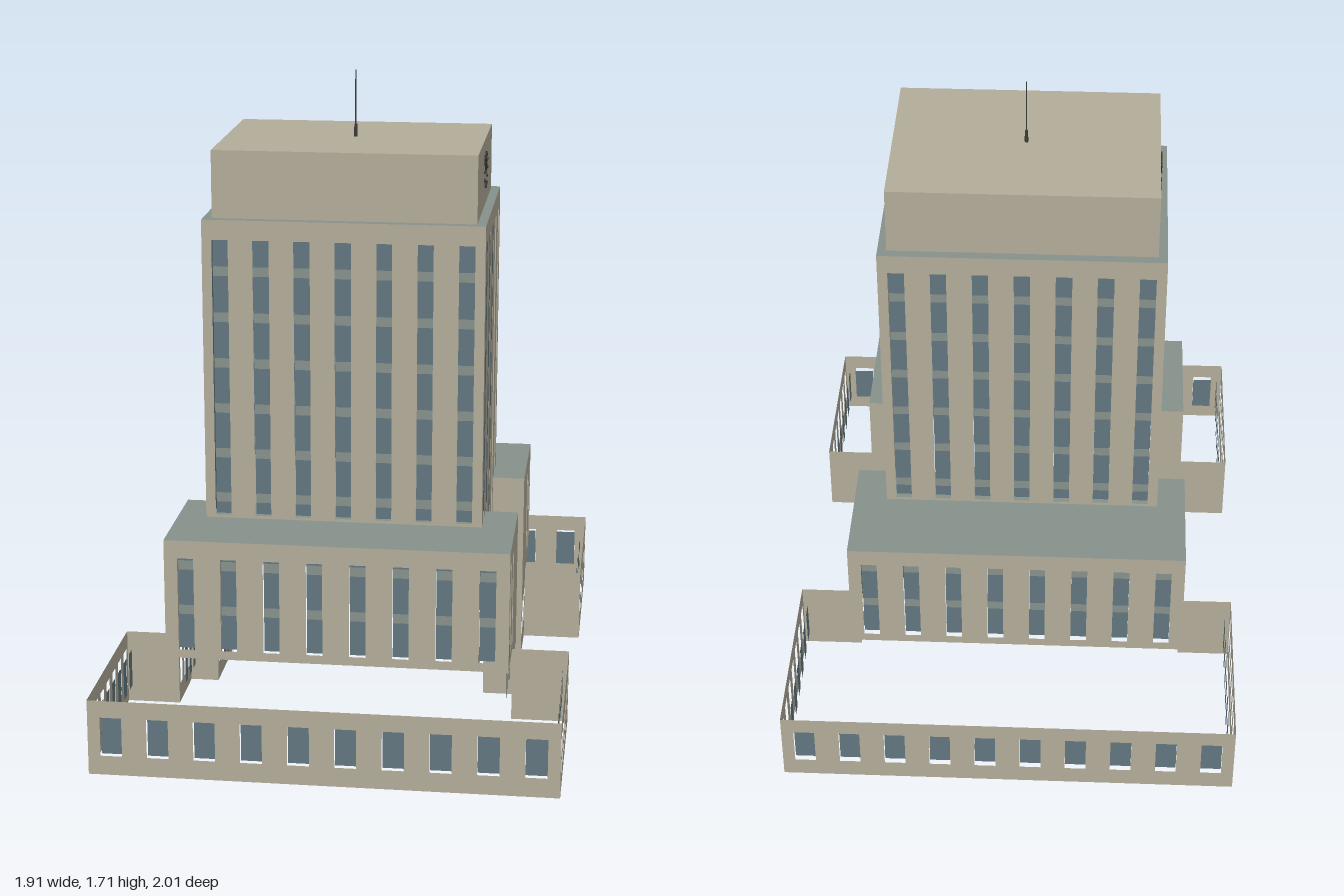
import * as THREE from 'three';
import { mergeGeometries } from 'three/addons/utils/BufferGeometryUtils.js';

const material = (name, color, side = THREE.FrontSide) => {
  const m = new THREE.MeshStandardMaterial({ color, side });
  m.name = name;
  return m;
};

export function createModel() {
  const stone = material('stone', 0xb2ac99, THREE.DoubleSide);
  const roofing = material('roofing', 0x87918b, THREE.DoubleSide);
  const glass = material('glass', 0x627680, THREE.DoubleSide);
  const dark = material('dark metal', 0x3c3c38);
  const RECESS = 0.015;

  const model = new THREE.Group();
  model.name = 'towerBuilding';
  const building = new THREE.Group();
  building.name = 'building';
  building.rotation.y = THREE.MathUtils.degToRad(-34); // stands turned on its site
  model.add(building);

  const add = (name, geometry, mat, parent = building) => {
    const mesh = new THREE.Mesh(geometry, mat);
    mesh.name = name;
    parent.add(mesh);
    return mesh;
  };

  const plate = (x0, x1, y0, y1) =>
    new THREE.PlaneGeometry(x1 - x0, y1 - y0).translate((x0 + x1) / 2, (y0 + y1) / 2, -RECESS);

  // Evenly spaced window centres along a wall
  const spread = (n, length, margin = length / n / 2) =>
    Array.from({ length: n }, (_, i) => margin + (i * (length - 2 * margin)) / Math.max(1, n - 1));

  // Thin wall from p to q with open window holes and set-back panes.
  // Tall windows are broken by a spandrel panel at every floor.
  function wall(name, p, q, y0, y1, win) {
    const length = Math.hypot(q[0] - p[0], q[1] - p[1]);
    const group = new THREE.Group();
    group.name = name;
    group.position.set(p[0], 0, p[1]);
    group.rotation.y = Math.atan2(p[1] - q[1], q[0] - p[0]);
    building.add(group);

    const shape = new THREE.Shape([[0, y0], [length, y0], [length, y1], [0, y1]]
      .map(([x, y]) => new THREE.Vector2(x, y)));
    const panes = [], spandrels = [];
    for (const c of win ? win.at : []) {
      const a = c - win.width / 2, b = c + win.width / 2;
      shape.holes.push(new THREE.Path([[a, win.y0], [a, win.y1], [b, win.y1], [b, win.y0]]
        .map(([x, y]) => new THREE.Vector2(x, y))));
      let top = win.y1;
      if (win.floors) {
        for (let y = 1.21; y > win.y0 + 0.03; y -= 0.125) {
          if (y > win.y1 - 0.015) continue;
          panes.push(plate(a, b, y + 0.013, top));
          spandrels.push(plate(a, b, y - 0.013, y + 0.013));
          top = y - 0.013;
        }
      }
      panes.push(plate(a, b, win.y0, top));
    }
    add(name + 'Face', new THREE.ShapeGeometry(shape), stone, group);
    if (panes.length) add(name + 'Panes', mergeGeometries(panes), glass, group);
    if (spandrels.length) add(name + 'Spandrels', mergeGeometries(spandrels), roofing, group);
  }

  // Flat roof over a rectangle
  const roof = (name, x0, x1, z0, z1, y, mat) => add(name,
    new THREE.PlaneGeometry(x1 - x0, z1 - z0).rotateX(-Math.PI / 2)
      .translate((x0 + x1) / 2, y, (z0 + z1) / 2), mat);

  // Four corners in order: front, left, back, right wall
  const corners = (x0, x1, z0, z1) => [[x0, z1], [x1, z1], [x1, z0], [x0, z0]];

  // Ground floor: roofless wall following the courtyards and entrances.
  // Each entry is the wall's start and its number of windows.
  const ground = [
    [-0.61, 0.81, 10], [0.597, 0.81, 7], [0.597, 0.33, 0], [0.445, 0.33, 3],
    [0.445, 0.16, 0], [0.356, 0.16, 6], [0.356, -0.142, 0], [0.445, -0.142, 3],
    [0.445, -0.285, 0], [0.607, -0.285, 7], [0.607, -0.795, 10], [-0.61, -0.795, 7],
    [-0.61, -0.285, 0], [-0.467, -0.285, 3], [-0.467, -0.142, 0], [-0.39, -0.142, 6],
    [-0.39, 0.16, 0], [-0.467, 0.16, 3], [-0.467, 0.33, 0], [-0.61, 0.33, 7],
  ];
  ground.forEach((p, i) => {
    const q = ground[(i + 1) % ground.length];
    const length = Math.hypot(q[0] - p[0], q[1] - p[1]);
    const win = p[2] && {
      at: spread(p[2], length), y0: 0.052, y1: 0.157,
      width: p[2] === 10 ? 0.056 : (length / p[2]) * 0.52,
    };
    wall('groundWall' + (i + 1), p, q, 0, 0.203, win);
  });

  // Two wings, open below, with windows near their outer ends
  const wings = [['front', 0.16, 0.5], ['back', -0.481, -0.142]];
  for (const [side, z0, z1] of wings) {
    const x0 = -0.467, x1 = 0.445, front = side === 'front';
    const c = corners(x0, x1, z0, z1);
    const win = (at, width) => ({ at, width, y0: 0.227, y1: 0.483, floors: true });
    const long = win(spread(8, x1 - x0), 0.043);
    const near = win([0.052, 0.145], 0.036);
    const far = win([0.194, 0.287], 0.036);
    const wins = front ? [null, near, null, far] : [null, far, long, near];
    if (front) wins[0] = long;
    c.forEach((p, i) => {
      const q = c[(i + 1) % 4];
      const inner = front ? i === 2 : i === 0;
      if (!inner) return wall(side + 'WingWall' + (i + 1), p, q, 0.203, 0.532, wins[i]);
      // Inner side only beyond the tower
      const z = p[1];
      const pieces = [[x0, -0.39], [0.356, x1]];
      pieces.forEach(([a, b], k) => wall(side + 'WingReturn' + (k + 1),
        front ? [b, z] : [a, z], front ? [a, z] : [b, z], 0.203, 0.532, null));
    });
    roof(side + 'WingRoof', x0, x1, z0, z1, 0.532, roofing);
  }

  // Tower: long faces start above the wings, short ones above the entrances
  const tower = corners(-0.39, 0.356, -0.262, 0.297);
  tower.forEach((p, i) => {
    const q = tower[(i + 1) % 4], long = i % 2 === 0;
    const length = long ? 0.746 : 0.559;
    wall('towerWall' + (i + 1), p, q, long ? 0.532 : 0.203, 1.35, {
      at: spread(long ? 7 : 5, length, long ? 0.048 : 0.056),
      width: 0.043, y0: long ? 0.54 : 0.227, y1: 1.297, floors: true,
    });
  });
  roof('towerRoof', -0.39, 0.356, -0.262, 0.297, 1.35, roofing);

  // Penthouse block
  add('penthouse', new THREE.BoxGeometry(0.698, 0.18, 0.509).translate(-0.017, 1.44, 0.018), stone);

  // A clock on each short side of the penthouse
  for (const s of [1, -1]) {
    const clock = new THREE.Group();
    clock.name = s > 0 ? 'leftClock' : 'rightClock';
    clock.position.set(s > 0 ? 0.335 : -0.369, 1.448, 0.018);
    clock.rotation.y = (s * Math.PI) / 2;
    const bar = (w, inner, outer, angle) => new THREE.BoxGeometry(w, outer - inner, 0.005)
      .translate(0, (inner + outer) / 2, 0).rotateZ(angle);
    const ticks = Array.from({ length: 12 }, (_, i) => bar(0.005, 0.039, 0.05, (i * Math.PI) / 6));
    add('hourMarks', mergeGeometries(ticks), dark, clock);
    add('hands', mergeGeometries([bar(0.009, -0.006, 0.045, 0.6), bar(0.009, -0.006, 0.034, -0.45)]),
      dark, clock);
    building.add(clock);
  }

  // Roof mast
  add('mastBase', new THREE.CylinderGeometry(0.004, 0.005, 0.035, 8).translate(-0.017, 1.547, 0.016), dark);
  add('mast', new THREE.CylinderGeometry(0.0015, 0.002, 0.15, 6).translate(-0.017, 1.635, 0.016), dark);

  // Entrance steps
  add('lowerStep', new THREE.BoxGeometry(0.119, 0.01, 0.226).translate(0.4165, 0.005, 0.014), stone);
  add('upperStep', new THREE.BoxGeometry(0.089, 0.01, 0.226).translate(0.4015, 0.015, 0.014), stone);

  return model;
}
